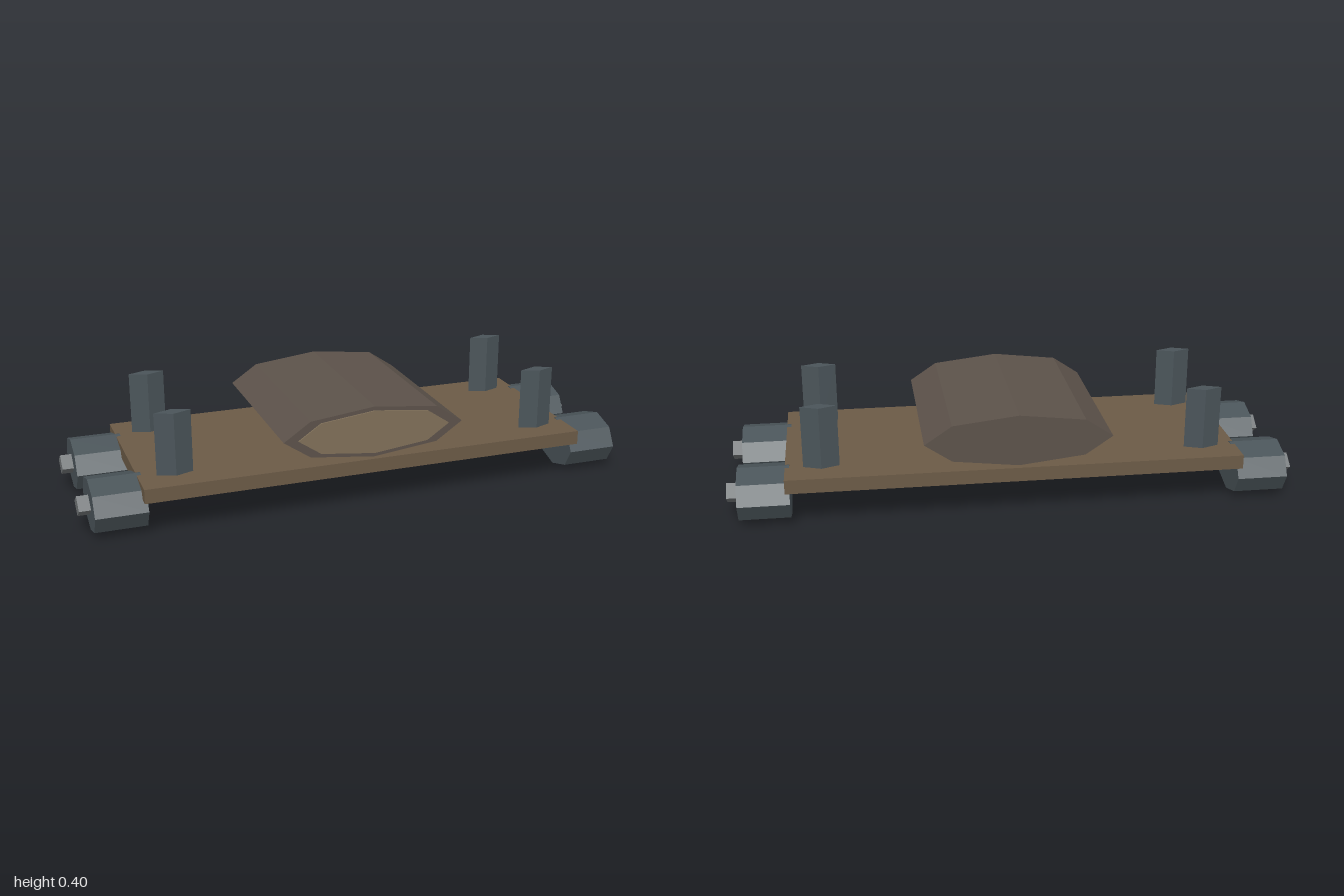
import * as THREE from 'three';

const mat = (color) => new THREE.MeshStandardMaterial({ color, flatShading: true });

// Faceted bar of unit radius, first corner pointing up (+y for x and z bars, +z for y bars)
function bar(name, axis, sides, length, size, position, material) {
  const geometry = new THREE.CylinderGeometry(1, 1, length, sides);
  if (axis === 'x') geometry.rotateX(-Math.PI / 2).rotateY(Math.PI / 2);
  if (axis === 'z') geometry.rotateX(-Math.PI / 2);
  // flatten the round section into an oval one
  geometry.scale(...size);
  const mesh = new THREE.Mesh(geometry, material);
  mesh.name = name;
  mesh.position.set(...position);
  return mesh;
}

export function createModel() {
  const model = new THREE.Group();
  model.name = 'logCart';

  const plank = mat(0x6b5a46);
  const bark = mat(0x5c524a);
  const cutWood = mat(0x807059);
  const iron = mat(0x4a5459);
  const hubMetal = mat(0x707476);

  // Flat deck
  const deck = new THREE.Mesh(new THREE.BoxGeometry(1.595, 0.05, 0.647), plank);
  deck.name = 'deck';
  deck.position.set(0, 0.155, -0.003);
  model.add(deck);

  // Log lying front to back, with a paler cut face at the front
  model.add(bar('log', 'z', 8, 0.662, [0.325, 0.091, 1], [0, 0.284, -0.002], bark));
  model.add(bar('logCutFace', 'z', 8, 0.02, [0.274, 0.077, 1], [0, 0.284, 0.324], cutWood));

  // Axles with a wheel and a hub at each end
  for (const z of [0.178, -0.204]) {
    const axleSet = new THREE.Group();
    axleSet.name = z > 0 ? 'frontAxleSet' : 'rearAxleSet';
    axleSet.position.set(0, 0.093, z);
    axleSet.add(bar('axle', 'x', 6, 1.62, [1, 0.016, 0.022], [0, 0.003, 0], iron));
    for (const side of [1, -1]) {
      axleSet.add(bar('wheel', 'x', 8, 0.178, [1, 0.091, 0.129], [side * 0.871, 0, 0], iron));
      axleSet.add(bar('hub', 'x', 4, 0.1, [1, 0.036, 0.05], [side * 0.95, 0, 0], hubMetal));
    }
    model.add(axleSet);
  }

  // Four diamond-section stakes
  for (const x of [0.672, -0.672]) {
    for (const z of [0.214, -0.218]) {
      model.add(bar('stake', 'y', 4, 0.225, [0.0625, 1, 0.024], [x, 0.2875, z], iron));
    }
  }

  return model;
}
